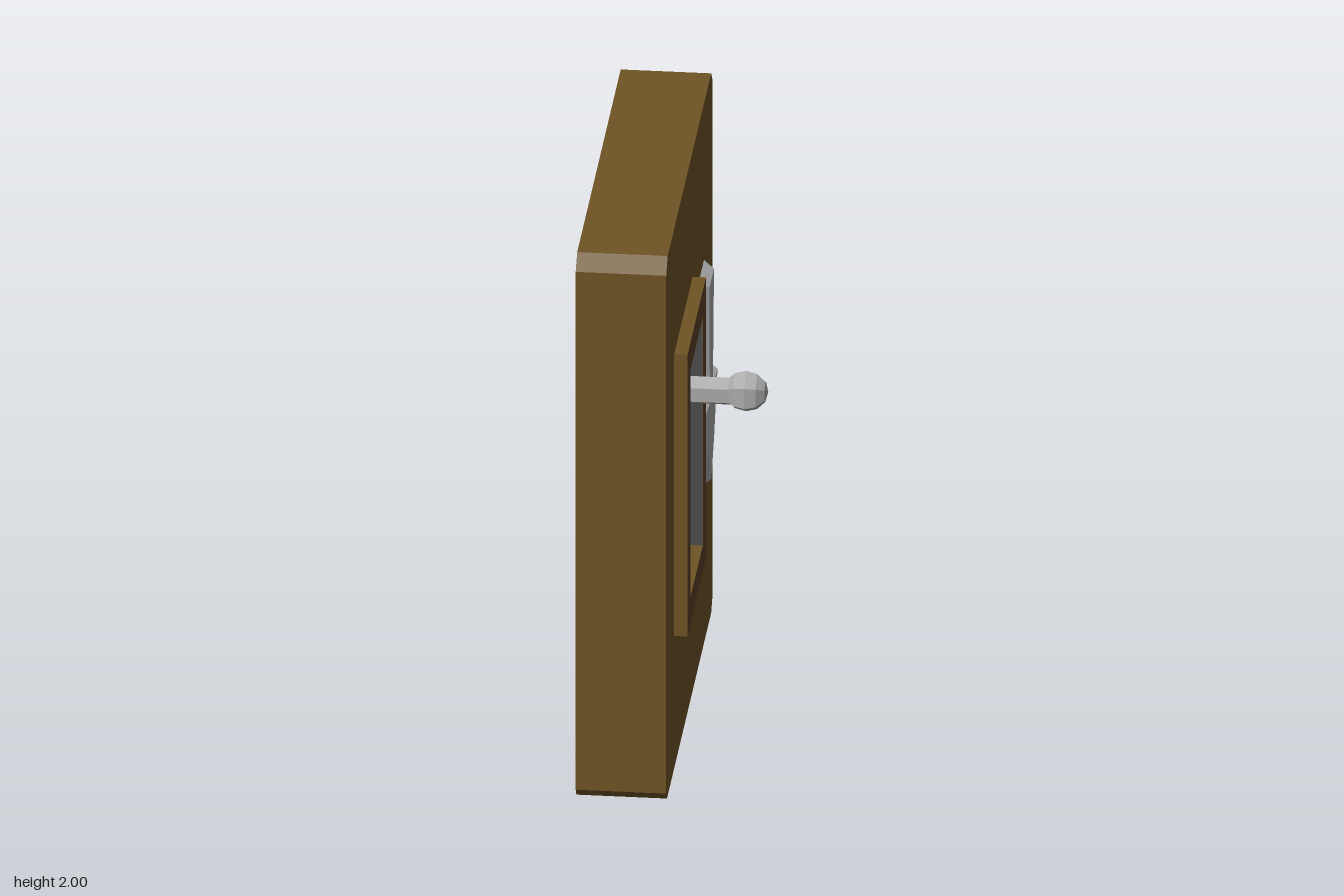
import * as THREE from 'three';

const mat = (name, color) => {
  const m = new THREE.MeshStandardMaterial({ color });
  m.name = name;
  m.flatShading = true;
  return m;
};

// Shapes are drawn in (u, y) with u = -z, and extruded along +x.
const poly = (pts, Type = THREE.Shape) => new Type(pts.map(p => new THREE.Vector2(...p)));
const rect = (u0, y0, u1, y1) => [[u0, y0], [u1, y0], [u1, y1], [u0, y1]];

function plate(shape, x0, x1) {
  const g = new THREE.ExtrudeGeometry(shape, { depth: x1 - x0, bevelEnabled: false });
  return g.rotateY(Math.PI / 2).translate(x0, 0, 0);
}

export function createModel() {
  const wood = mat('wood', 0x6e5325);
  const darkWood = mat('dark wood', 0x593f25);
  const darkMetal = mat('dark metal', 0x4a4a4c);
  const lightMetal = mat('light metal', 0xa9a9a9);

  const model = new THREE.Group();
  model.name = 'leverSwitch';
  const add = (name, geometry, material) => {
    const mesh = new THREE.Mesh(geometry, material);
    mesh.name = name;
    model.add(mesh);
    return mesh;
  };

  // Board with clipped corners and a recess
  const outline = [
    [-0.745, 0], [0.72, 0], [0.77, 0.05], [0.77, 1.95],
    [0.72, 2], [-0.72, 2], [-0.77, 1.95], [-0.77, 0.03],
  ];
  const opening = rect(-0.405, 0.59, 0.005, 1.435);
  const front = poly(outline);
  front.holes.push(poly(opening, THREE.Path));
  add('boardFront', plate(front, -0.2, 0.005), wood);
  add('boardBack', plate(poly(outline), -0.3, -0.2), wood);

  // Raised frame around the recess: dark face, wood-coloured edges
  const frame = poly(rect(-0.505, 0.49, 0.105, 1.535));
  frame.holes.push(poly(opening, THREE.Path));
  add('frame', plate(frame, 0.005, 0.05), [darkWood, wood]);

  // Metal lining: cross-section in (x, u) with a slot for the lever, extruded upward
  const section = poly([
    [-0.199, -0.405], [0.048, -0.405], [0.048, -0.401], [-0.06, -0.401],
    [-0.06, -0.26], [-0.19, -0.26], [-0.19, -0.155], [-0.06, -0.155],
    [-0.06, 0.001], [0.048, 0.001], [0.048, 0.005], [-0.199, 0.005],
  ]);
  const lining = new THREE.ExtrudeGeometry(section, { depth: 0.845, bevelEnabled: false });
  add('slotLining', lining.rotateX(-Math.PI / 2).translate(0, 0.59, 0), darkMetal);

  // Lever stem and knob
  const stem = new THREE.CylinderGeometry(0.05, 0.05, 0.36, 6, 1, false, Math.PI / 2);
  add('leverStem', stem.rotateZ(-Math.PI / 2).translate(0.01, 1.262, 0.2), lightMetal);
  const knob = new THREE.SphereGeometry(0.075, 6, 6);
  add('leverKnob', knob.rotateZ(-Math.PI / 2).translate(0.216, 1.265, 0.2), lightMetal);

  // Bevelled arrow pointing down
  const arrow = new THREE.ExtrudeGeometry(poly([
    [0.37, 0.633], [0.48, 0.765], [0.6, 0.99], [0.443, 0.995], [0.48, 1.42],
    [0.29, 1.42], [0.302, 0.985], [0.178, 1.0], [0.283, 0.765],
  ]), { depth: 0.01, bevelThickness: 0.035, bevelSize: 0.02, bevelOffset: -0.02, bevelSegments: 1 });
  add('arrow', arrow.rotateY(Math.PI / 2).translate(-0.004, 0, 0), lightMetal);

  return model;
}
